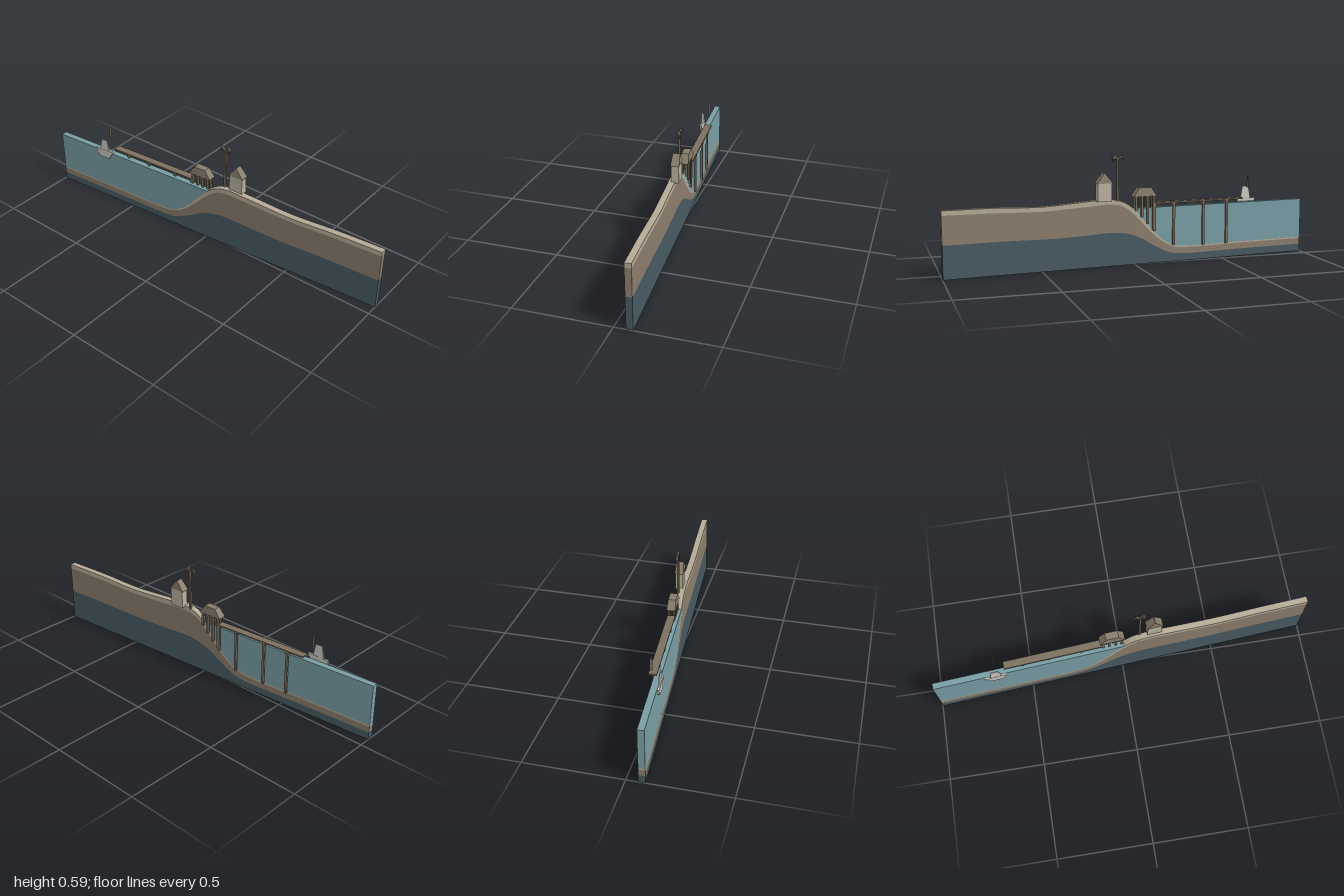
import * as THREE from 'three';

const DEPTH = 0.033, END = 1.0015, BACK = -0.018;
const mat = (name, color) => {
  const m = new THREE.MeshStandardMaterial({ color });
  m.name = name;
  return m;
};

// Layer boundaries as a few [x, y] points
const bedrockTop = [[-END, 0.04], [-0.6, 0.04], [-0.26, 0.04], [-0.2, 0.05], [-0.12, 0.088], [-0.03, 0.14],
  [0.05, 0.168], [0.14, 0.176], [0.28, 0.17], [0.45, 0.166], [0.7, 0.17], [END, 0.17]];
const soilTop = [[-END, 0.073], [-0.6, 0.073], [-0.28, 0.073], [-0.22, 0.082], [-0.15, 0.118], [-0.08, 0.18],
  [0, 0.262], [0.06, 0.308], [0.13, 0.325], [0.25, 0.319], [0.5, 0.308], [0.75, 0.314], [END, 0.316]];
const sandTop = [[-END, 0.08], [-0.6, 0.08], [-0.28, 0.08], [-0.22, 0.09], [-0.15, 0.13], [-0.08, 0.2],
  [0.008, 0.297], [0.06, 0.332], [0.13, 0.35], [0.25, 0.346], [0.5, 0.331], [0.75, 0.339], [END, 0.34]];
const flat = (y, x0 = -END, x1 = END) => [[x0, y], [x1, y]];

const smooth = (pts) => pts.length < 3 ? pts.map((p) => new THREE.Vector2(...p))
  : new THREE.CatmullRomCurve3(pts.map((p) => new THREE.Vector3(p[0], p[1], 0)), false, 'centripetal')
    .getPoints(90).map((p) => new THREE.Vector2(p.x, p.y));

// Ground height at x
function groundAt(x) {
  const i = sandTop.findIndex((p) => p[0] >= x), [a, b] = [sandTop[i - 1], sandTop[i]];
  return a[1] + (b[1] - a[1]) * (x - a[0]) / (b[0] - a[0]);
}

function extrude(points, depth, z) {
  const g = new THREE.ExtrudeGeometry(new THREE.Shape(points), { depth, bevelEnabled: false });
  return g.translate(0, 0, z - depth / 2);
}

// Box whose top is narrowed in x and z
function frustum(w, h, d, topX, topZ) {
  const g = new THREE.BoxGeometry(w, h, d), p = g.attributes.position;
  for (let i = 0; i < p.count; i++) {
    if (p.getY(i) > 0) p.setXYZ(i, p.getX(i) * topX, p.getY(i), p.getZ(i) * topZ);
  }
  g.computeVertexNormals();
  return g;
}

export function createModel() {
  const root = new THREE.Group();
  root.name = 'coastSection';
  const slab = new THREE.Group();
  slab.name = 'slantedSection';
  slab.rotation.y = 0.0755;
  root.add(slab);

  const water = mat('water', 0x789ea4), bedrock = mat('bedrock', 0x475a62), soil = mat('soil', 0x8c7d6c),
    sand = mat('sand', 0xb5ab96), wood = mat('wood', 0x7c6f5e), roofing = mat('roofing', 0x887c6a),
    wall = mat('wall', 0xbab29e), hullPaint = mat('hull paint', 0xc9c8c0), dark = mat('dark wood', 0x5c554a);

  const add = (name, geo, material, x = 0, y = 0, z = 0, parent = slab) => {
    const m = new THREE.Mesh(geo, material);
    m.name = name;
    m.position.set(x, y, z);
    parent.add(m);
    return m;
  };
  const box = (name, w, y0, y1, d, material, x, z) =>
    add(name, new THREE.BoxGeometry(w, y1 - y0, d), material, x, (y0 + y1) / 2, z);

  // Ground layers and sea
  const layer = (name, low, high, material) =>
    add(name, extrude([...smooth(low), ...smooth(high).reverse()], DEPTH, 0), material);
  layer('bedrockLayer', flat(0), bedrockTop, bedrock);
  layer('soilLayer', bedrockTop, soilTop, soil);
  layer('sandLayer', soilTop, sandTop, sand);
  layer('seaWater', sandTop.slice(0, 7), flat(0.297, -END, 0.006), water);

  // Pier: deck on paired piles reaching the sea bed
  box('pierDeck', 0.52, 0.317, 0.325, 0.04, wood, -0.365, BACK);
  for (const x of [-0.53, -0.39, -0.217, -0.107]) {
    for (const z of [-0.007, -0.03]) box('pierPile', 0.012, groundAt(x), 0.317, 0.011, wood, x, z);
    box('pierCrossbeam', 0.014, 0.303, 0.317, 0.036, wood, x, BACK);
  }

  // Pavilion on stilts
  for (const x of [-0.1, -0.067, -0.034, -0.002]) {
    for (const z of [-0.005, -0.031]) box('pavilionPost', 0.011, groundAt(x), 0.362, 0.011, wood, x, z);
  }
  add('pavilionRoof', frustum(0.132, 0.046, 0.046, 0.5, 0.85), roofing, -0.051, 0.383, BACK);

  // Watch house
  box('houseWall', 0.076, 0.343, 0.437, 0.04, wall, 0.172, BACK + 0.001);
  add('houseRoof', frustum(0.086, 0.053, 0.045, 0.04, 0.82), roofing, 0.172, 0.4635, BACK + 0.001);

  // Palm tree with drooping crown
  box('palmTrunk', 0.01, 0.34, 0.56, 0.011, wood, 0.096, -0.016);
  const crown = [[0.064, 0.552], [0.074, 0.582], [0.084, 0.572], [0.096, 0.566], [0.11, 0.586], [0.127, 0.566],
    [0.119, 0.545], [0.112, 0.562], [0.1, 0.553], [0.09, 0.556], [0.08, 0.565], [0.073, 0.558]];
  add('palmCrown', extrude(crown.map((p) => new THREE.Vector2(...p)), 0.014, -0.017), dark);

  // Boat moored on the near side of the water
  const boat = new THREE.Group();
  boat.name = 'boat';
  slab.add(boat);
  const hull = [[-0.703, 0.268], [-0.645, 0.268], [-0.614, 0.317], [-0.645, 0.319], [-0.7, 0.312], [-0.731, 0.314], [-0.727, 0.288]];
  add('boatHull', extrude(hull.map((p) => new THREE.Vector2(...p)), 0.011, 0.027), hullPaint, 0, 0, 0, boat);
  add('boatCabin', frustum(0.06, 0.066, 0.009, 0.62, 0.5), hullPaint, -0.673, 0.345, 0.027, boat);
  box('boatMast', 0.005, 0.376, 0.44, 0.013, wood, -0.665, -0.016);

  return root;
}
